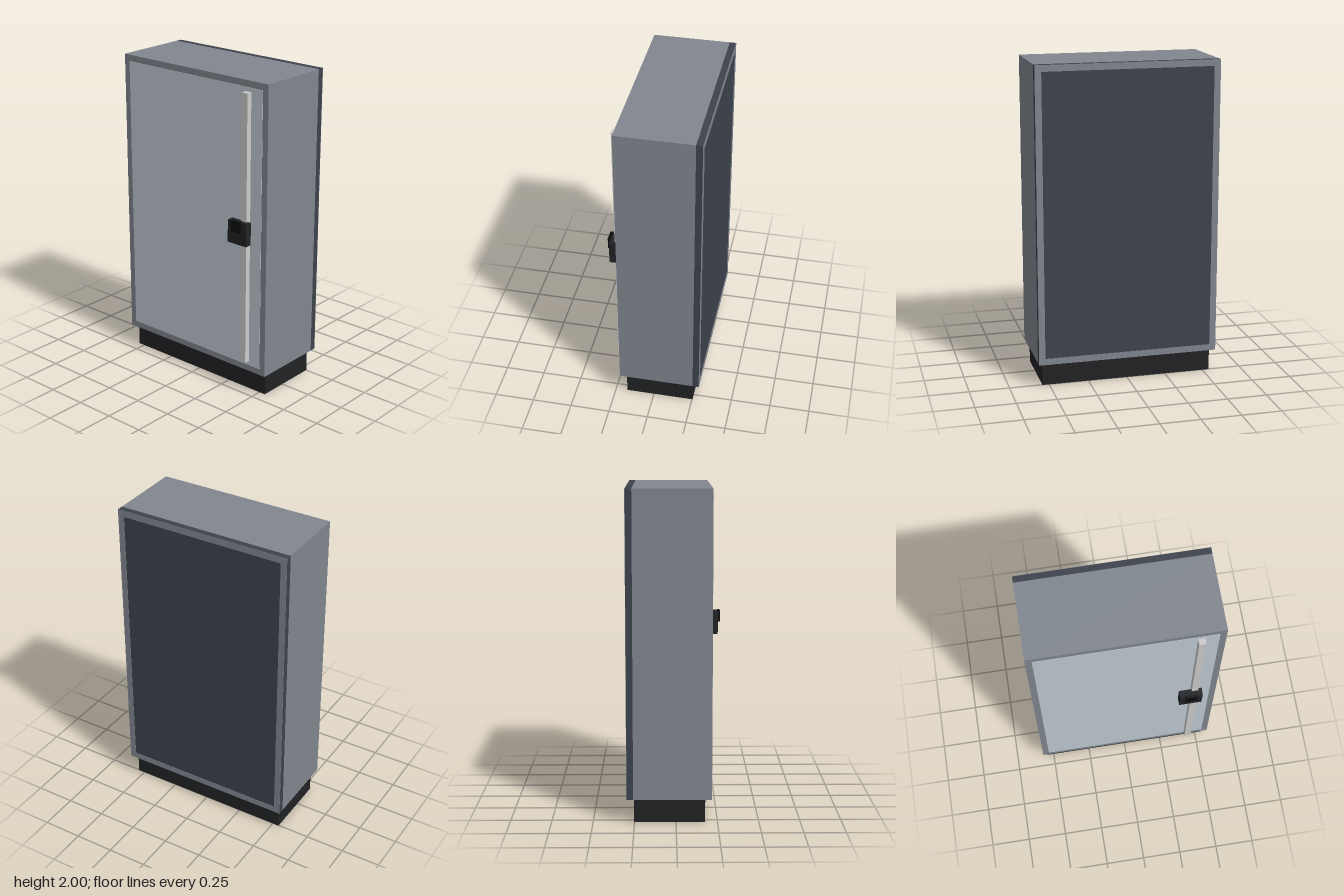
import * as THREE from 'three';

const mat = (color) => new THREE.MeshStandardMaterial({ color });

export function createModel() {
  const group = new THREE.Group();
  const grey = mat(0x80868f), dark = mat(0x3d424c), black = mat(0x212225);
  const doorGrey = mat(0xc0cad2), metal = mat(0xcccccc), jet = mat(0x0c0c0d);

  // Box given by its extents on each axis
  const box = (name, material, [x0, x1], [y0, y1], [z0, z1]) => {
    const mesh = new THREE.Mesh(new THREE.BoxGeometry(x1 - x0, y1 - y0, z1 - z0), material);
    mesh.position.set((x0 + x1) / 2, (y0 + y1) / 2, (z0 + z1) / 2);
    mesh.name = name;
    group.add(mesh);
  };

  const W = 0.57, bottom = 0.147, top = 2, rim = 0.04;

  // Plinth, cabinet shell and back panel
  box('plinth', black, [-0.543, 0.543], [0, bottom], [-0.253, 0.176]);
  box('cabinetBody', grey, [-W, W], [bottom, top], [-0.257, 0.216]);
  box('backPanel', dark, [-W, W], [bottom, top], [-0.296, -0.257]);

  // Thin frame around the edge of the back
  const backZ = [-0.298, -0.296];
  for (const s of [-1, 1]) {
    const xs = [s * W, s * (W - rim)].sort((a, b) => a - b);
    box('backFrameSide', grey, xs, [bottom, top], backZ);
  }
  for (const y of [bottom, top - rim]) {
    box('backFrameRail', grey, [rim - W, W - rim], [y, y + rim], backZ);
  }

  // Door set in the front frame
  box('door', doorGrey, [rim - W, W - rim], [bottom + rim, top - rim], [0.2, 0.218]);

  // Vertical locking bar, latch housing and latch button
  box('lockingBar', metal, [0.405, 0.446], [0.216, 1.934], [0.216, 0.253]);
  box('latchHousing', black, [0.327, 0.469], [1.003, 1.146], [0.239, 0.283]);
  box('latchButton', jet, [0.362, 0.434], [1.082, 1.154], [0.281, 0.298]);

  return group;
}
